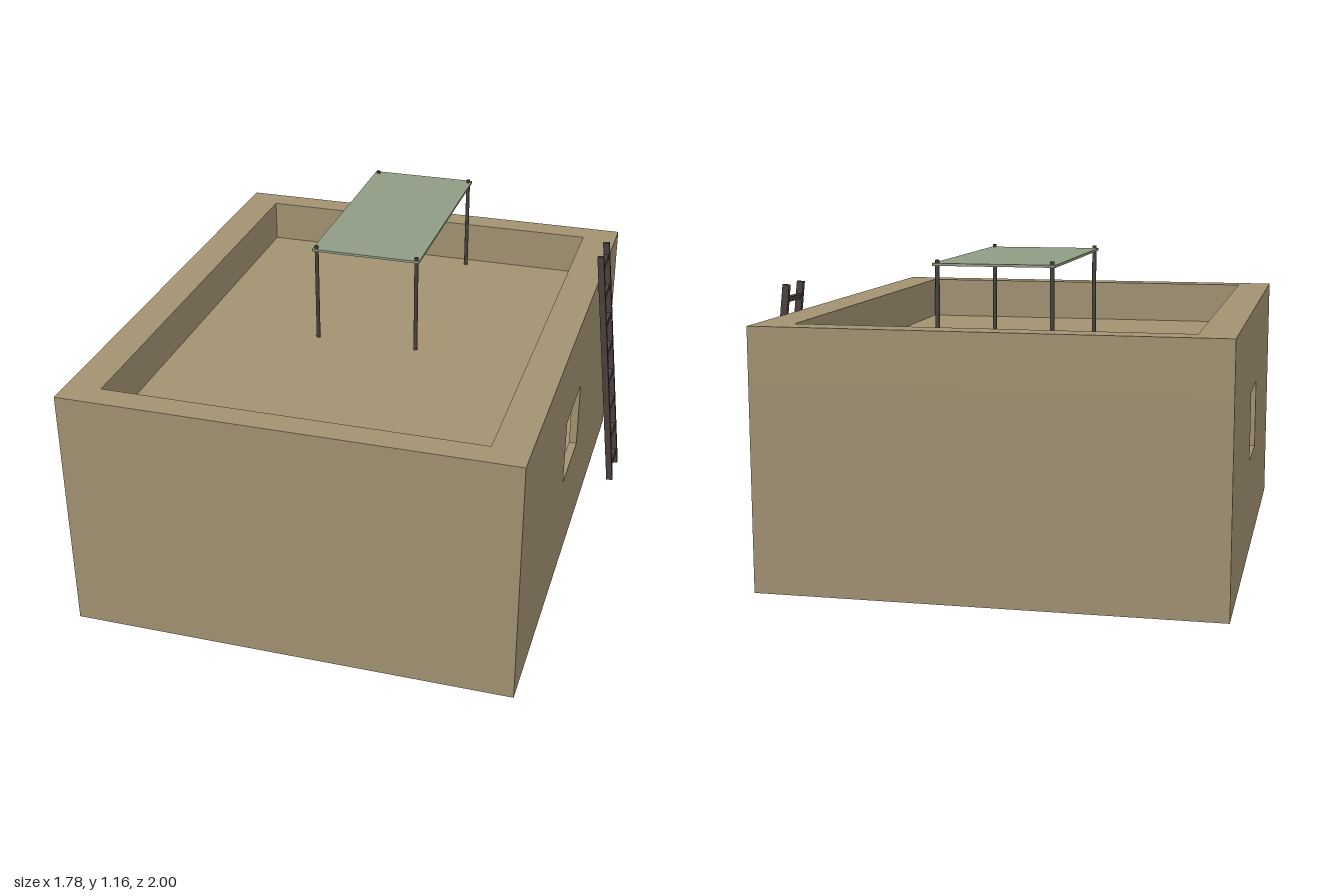
import * as THREE from 'three';

const clay = new THREE.MeshStandardMaterial({ name: 'clay', color: 0xa39272 });
const cloth = new THREE.MeshStandardMaterial({ name: 'awning cloth', color: 0x8f9c84 });
const darkWood = new THREE.MeshStandardMaterial({ name: 'dark wood', color: 0x4b413c });
const poleWood = new THREE.MeshStandardMaterial({ name: 'pole wood', color: 0x49443b });

// House limits
const X0 = -0.89, X1 = 0.765, Z = 1, TOP = 0.94, ROOF = 0.775;
const WALL = 0.03, SLAB = 0.745;

// Box given by its low and high corners
function box(name, material, lo, hi) {
  const size = hi.map((v, i) => v - lo[i]);
  const mesh = new THREE.Mesh(new THREE.BoxGeometry(...size), material);
  mesh.position.set(...hi.map((v, i) => (v + lo[i]) / 2));
  mesh.name = name;
  return mesh;
}

// Rectangle outline, used for faces and for holes
function rect(PathType, x0, y0, x1, y1) {
  return new PathType([[x0, y0], [x1, y0], [x1, y1], [x0, y1]].map(p => new THREE.Vector2(...p)));
}

function plate(name, outline, hole, depth) {
  outline.holes.push(hole);
  const geometry = new THREE.ExtrudeGeometry(outline, { depth, bevelEnabled: false });
  const mesh = new THREE.Mesh(geometry, clay);
  mesh.name = name;
  return mesh;
}

function createHouse() {
  const house = new THREE.Group();
  house.name = 'house';
  house.add(box('floor', clay, [X0, 0, -Z], [X1, WALL, Z]));
  house.add(box('roof', clay, [X0 + 0.02, SLAB, -Z + 0.02], [X1 - 0.02, ROOF, Z - 0.02]));
  house.add(box('frontWall', clay, [X0, WALL, Z - WALL], [X1, SLAB, Z]));
  house.add(box('backWall', clay, [X0, WALL, -Z], [X1, SLAB, -Z + WALL]));

  // Side walls with a square window opening
  for (const [name, x] of [['leftWall', X1 - WALL], ['rightWall', X0]]) {
    const wall = plate(name,
      rect(THREE.Shape, -Z + WALL, WALL, Z - WALL, SLAB),
      rect(THREE.Path, -0.15, 0.37, 0.15, 0.63), WALL);
    wall.rotation.y = Math.PI / 2;
    wall.position.x = x;
    house.add(wall);
  }

  // Thick parapet around the sunken roof
  const parapet = plate('parapet',
    rect(THREE.Shape, X0, -Z, X1, Z),
    rect(THREE.Path, -0.76, -0.9, 0.63, 0.9), TOP - SLAB);
  parapet.rotation.x = -Math.PI / 2;
  parapet.position.y = SLAB;
  house.add(parapet);
  return house;
}

function createAwning() {
  const awning = new THREE.Group();
  awning.name = 'awning';
  awning.add(box('awningSheet', cloth, [-0.28, 1.145, -0.87], [0.145, 1.154, 0.008]));
  for (const x of [-0.265, 0.132]) {
    for (const z of [-0.85, -0.004]) {
      const pole = new THREE.Mesh(new THREE.CylinderGeometry(0.008, 0.008, 1.164 - ROOF, 8), poleWood);
      pole.position.set(x, (1.164 + ROOF) / 2, z);
      pole.name = 'awningPole';
      awning.add(pole);
    }
  }
  return awning;
}

function createLadder() {
  // Built upright around its centre, then leaned against the wall
  const ladder = new THREE.Group();
  ladder.name = 'ladder';
  const dx = -0.109, dy = 1.02, length = Math.hypot(dx, dy);
  for (const z of [-0.073, 0.073]) {
    ladder.add(box('ladderRail', darkWood,
      [-0.0125, -length / 2, z - 0.009], [0.0125, length / 2, z + 0.009]));
  }
  for (let i = 0; i < 8; i++) {
    const y = -0.453 + i * 0.13;
    ladder.add(box('ladderRung', darkWood, [-0.009, y - 0.009, -0.07], [0.009, y + 0.009, 0.07]));
  }
  ladder.rotation.z = Math.atan2(-dx, dy);
  ladder.position.set(0.82, 0.538, -0.543);
  return ladder;
}

export function createModel() {
  const model = new THREE.Group();
  model.name = 'flatRoofedHouse';
  model.add(createHouse(), createAwning(), createLadder());
  return model;
}
